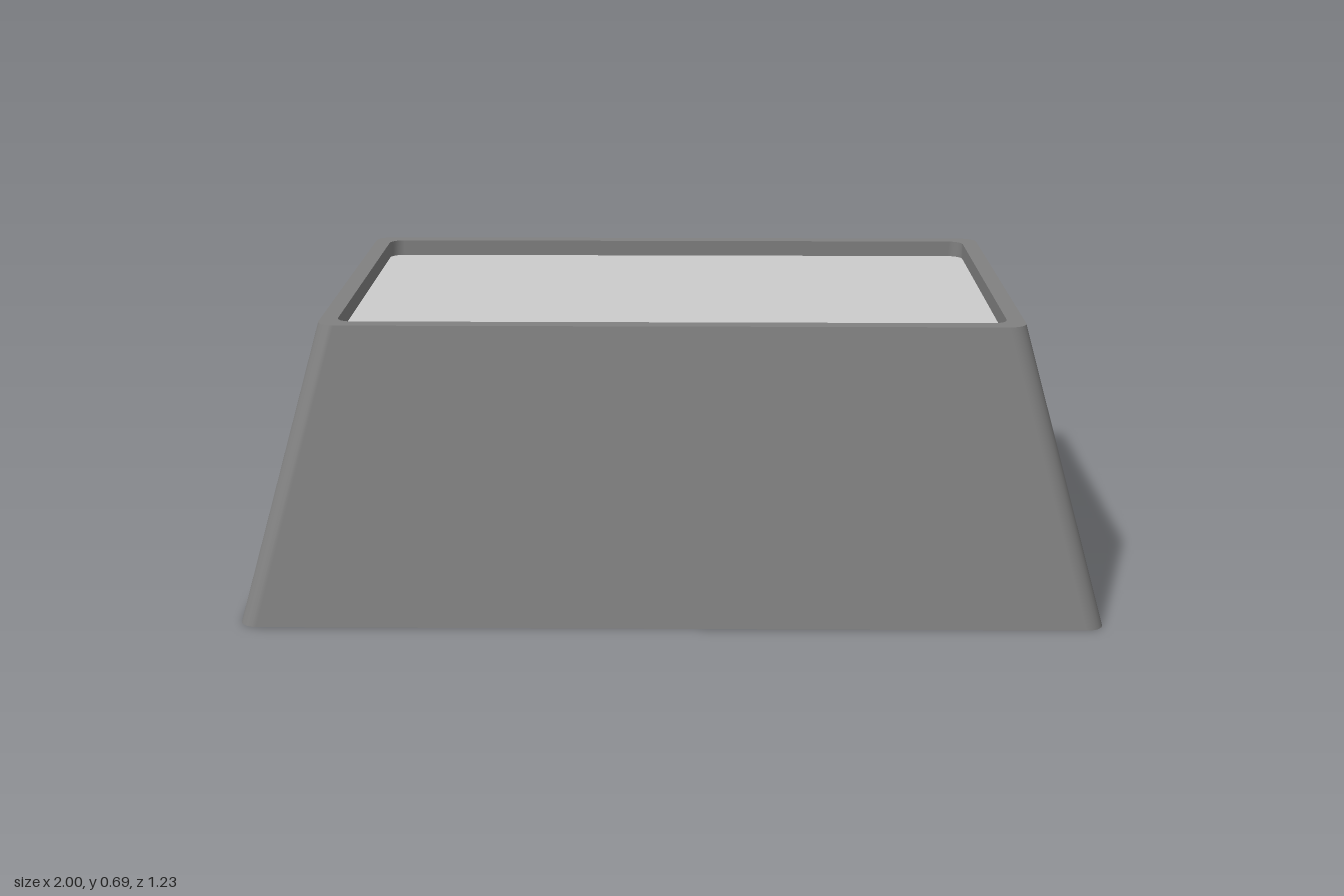
import * as THREE from 'three';
import { mergeGeometries } from 'three/addons/utils/BufferGeometryUtils.js';

const STEPS = 6; // segments per rounded corner

// Rounded-rectangle cross-section at height y
function ring(halfX, halfZ, radius, y) {
  const points = [];
  for (let corner = 0; corner < 4; corner++) {
    const sx = corner === 0 || corner === 3 ? 1 : -1;
    const sz = corner < 2 ? 1 : -1;
    for (let i = 0; i <= STEPS; i++) {
      const a = (corner + i / STEPS) * Math.PI / 2;
      points.push([
        sx * (halfX - radius) + radius * Math.cos(a),
        y,
        sz * (halfZ - radius) + radius * Math.sin(a),
      ]);
    }
  }
  return points;
}

// Smooth band joining two cross-sections
function band(from, to) {
  const n = from.length;
  const index = [];
  for (let i = 0; i < n; i++) {
    const j = (i + 1) % n;
    index.push(i, n + i, j, j, n + i, n + j);
  }
  const geometry = new THREE.BufferGeometry();
  geometry.setAttribute('position', new THREE.Float32BufferAttribute([...from, ...to].flat(), 3));
  geometry.setIndex(index);
  geometry.computeVertexNormals();
  return geometry;
}

export function createModel() {
  const height = 0.69;
  const depth = 0.04;
  const base = ring(1, 0.615, 0.04, 0);
  const rimOuter = ring(0.81, 0.5, 0.04, height);
  const rimInner = ring(0.77, 0.46, 0.035, height);
  const floorEdge = ring(0.77, 0.46, 0.035, height - depth);

  const group = new THREE.Group();
  group.name = 'taperedBlock';
  const add = (name, geometry, color) => {
    const mesh = new THREE.Mesh(geometry, new THREE.MeshStandardMaterial({ color }));
    mesh.name = name;
    group.add(mesh);
  };

  // Tapered shell: underside, sloping sides, flat rim and recess wall
  add('body', mergeGeometries([
    band(ring(0, 0, 0, 0), base),
    band(base, rimOuter),
    band(rimOuter, rimInner),
    band(rimInner, floorEdge),
  ]), 0x808080);

  // Lighter panel sunk inside the rim
  add('topPanel', band(floorEdge, ring(0, 0, 0, height - depth)), 0xcccccc);

  return group;
}
